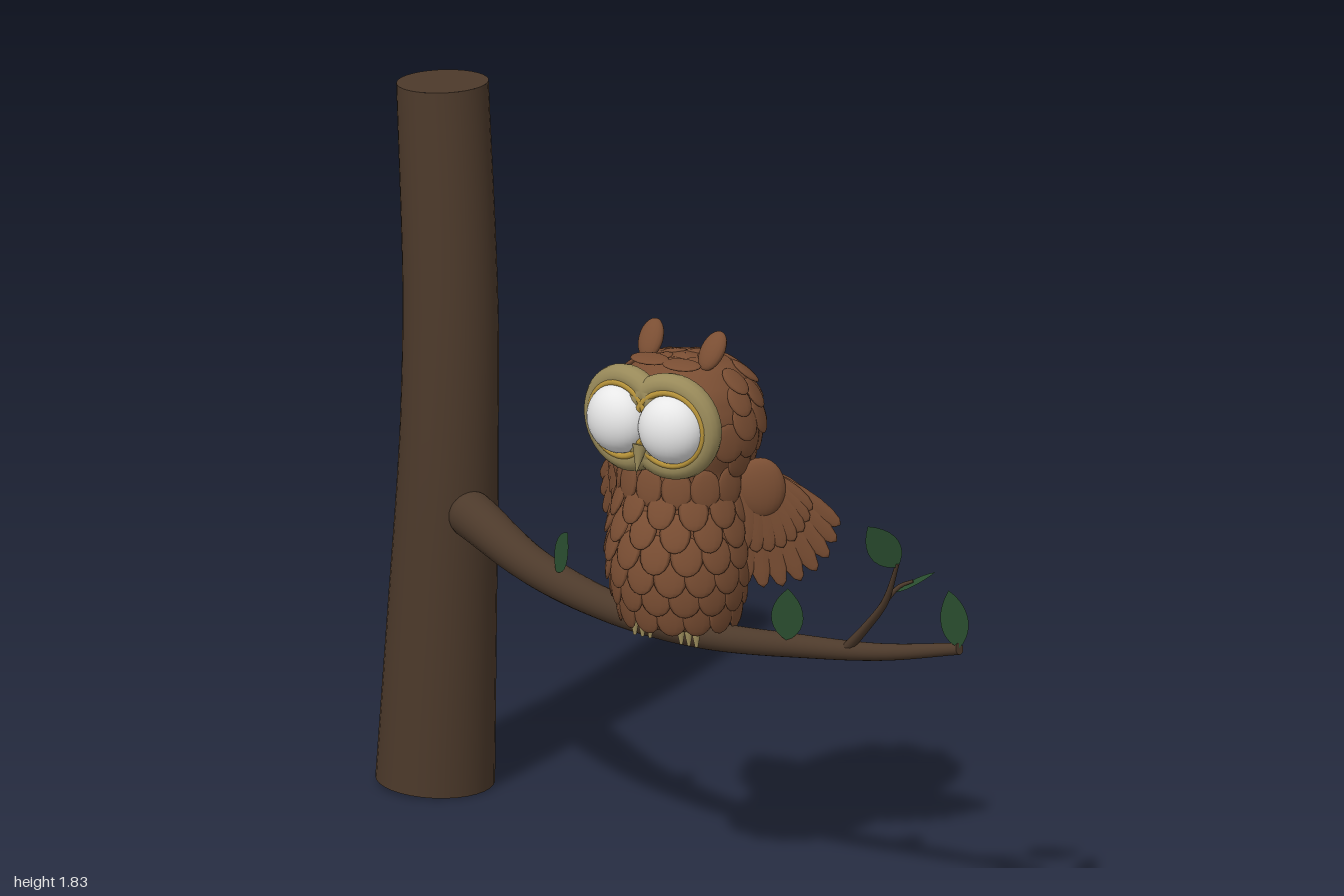
import * as THREE from 'three';
import { mergeGeometries } from 'three/addons/utils/BufferGeometryUtils.js';

const V = (x, y, z) => new THREE.Vector3(x, y, z);
const CX = 0.14; // owl centre line
const mat = (name, color, side = THREE.FrontSide) => {
  const m = new THREE.MeshStandardMaterial({ color, side });
  m.name = name;
  return m;
};

// owl body profile: height, radius, z centre
const PROFILE = [
  [0.69, 0.1, 0.15], [0.73, 0.145, 0.145], [0.82, 0.168, 0.15], [0.92, 0.17, 0.15],
  [1.02, 0.157, 0.135], [1.09, 0.15, 0.125], [1.16, 0.175, 0.12], [1.24, 0.187, 0.115],
  [1.31, 0.168, 0.115], [1.36, 0.12, 0.12], [1.38, 0.001, 0.12],
];
const DEPTH = 0.92;
function profileAt(y) {
  let i = 0;
  while (i < PROFILE.length - 2 && PROFILE[i + 1][0] < y) i++;
  const [a, b] = [PROFILE[i], PROFILE[i + 1]];
  const t = THREE.MathUtils.clamp((y - a[0]) / (b[0] - a[0]), 0, 1);
  return { r: a[1] + (b[1] - a[1]) * t, z: a[2] + (b[2] - a[2]) * t };
}

// feather: flattened drop hanging down from the origin
function feather(w, len, thick = 0.008) {
  const g = new THREE.SphereGeometry(1, 10, 8);
  g.scale(w, len / 2, thick).translate(0, -len / 2, 0);
  return g;
}
function place(g, pos, rx, ry, rz) {
  const q = new THREE.Quaternion().setFromEuler(new THREE.Euler(rx, ry, rz, 'YXZ'));
  return g.applyMatrix4(new THREE.Matrix4().compose(pos, q, V(1, 1, 1)));
}

// tube whose radius follows a list of radii along the path
function taperedTube(points, radii, segs = 32, sides = 24) {
  const curve = new THREE.CatmullRomCurve3(points);
  const g = new THREE.TubeGeometry(curve, segs, 1, sides);
  const p = g.attributes.position, n = g.attributes.normal;
  for (let i = 0; i < p.count; i++) {
    const f = Math.floor(i / (sides + 1)) / segs * (radii.length - 1);
    const k = Math.min(Math.floor(f), radii.length - 2);
    const d = THREE.MathUtils.lerp(radii[k], radii[k + 1], f - k) - 1;
    p.setXYZ(i, p.getX(i) + n.getX(i) * d, p.getY(i) + n.getY(i) * d, p.getZ(i) + n.getZ(i) * d);
  }
  const caps = [0, 1].map((t) => {
    const dir = curve.getTangentAt(t).multiplyScalar(t ? 1 : -1);
    const c = new THREE.CircleGeometry(radii[t ? radii.length - 1 : 0], sides);
    c.applyQuaternion(new THREE.Quaternion().setFromUnitVectors(V(0, 0, 1), dir));
    const e = curve.getPointAt(t);
    return c.translate(e.x, e.y, e.z);
  });
  return mergeGeometries([g, ...caps]);
}

// pointed leaf from base to tip, facing roughly along the given normal
function leaf(base, tip, normal, w) {
  const s = new THREE.Shape();
  s.moveTo(0, 0);
  s.bezierCurveTo(w * 0.7, 0.2, w * 0.75, 0.65, 0, 1);
  s.bezierCurveTo(-w * 0.75, 0.65, -w * 0.7, 0.2, 0, 0);
  const g = new THREE.ShapeGeometry(s, 10);
  const up = tip.clone().sub(base);
  const x = up.clone().cross(normal).normalize();
  const z = x.clone().cross(up).normalize();
  return g.applyMatrix4(new THREE.Matrix4().makeBasis(x, up, z).setPosition(base));
}

export function createModel() {
  const root = new THREE.Group();
  const bark = mat('bark', 0x4d3a2b);
  const brown = mat('featherBrown', 0x7a4e33);
  const tan = mat('tan', 0x998a5a);
  const gold = mat('gold', 0xb8943a);
  const white = mat('eyeWhite', 0xeeeeee);
  const green = mat('leafGreen', 0x2b4f30, THREE.DoubleSide);
  const add = (name, g, m, parent = root) => {
    const mesh = new THREE.Mesh(g, m);
    mesh.name = name;
    parent.add(mesh);
    return mesh;
  };

  // tree
  add('trunk', taperedTube([V(-0.85, 0.01, -0.218), V(-0.825, 0.45, -0.212), V(-0.805, 0.85, -0.21),
    V(-0.802, 1.25, -0.215), V(-0.833, 1.825, -0.225)], [0.149, 0.136, 0.123, 0.118, 0.115], 40, 32), bark);
  add('branch', taperedTube([V(-0.69, 0.74, -0.15), V(-0.4, 0.69, -0.01), V(-0.1, 0.664, 0.085),
    V(0.2, 0.66, 0.128), V(0.5, 0.685, 0.138), V(0.75, 0.715, 0.143), V(0.99, 0.768, 0.15)],
  [0.06, 0.048, 0.041, 0.038, 0.032, 0.023, 0.015], 48), bark);
  add('branchRoot', new THREE.SphereGeometry(0.06, 24, 16).translate(-0.69, 0.74, -0.15), bark);
  add('twig', taperedTube([V(0.64, 0.7, 0.145), V(0.72, 0.78, 0.17), V(0.8, 0.87, 0.2), V(0.855, 0.985, 0.225)],
    [0.014, 0.011, 0.009, 0.005], 20, 10), bark);
  add('sideTwig', taperedTube([V(0.795, 0.865, 0.2), V(0.83, 0.91, 0.18), V(0.86, 0.925, 0.165)],
    [0.008, 0.006, 0.004], 8, 8), bark);
  const leaves = [
    [V(0.855, 0.975, 0.225), V(0.81, 1.09, 0.29), V(0.4, 0.35, 0.85), 0.075],
    [V(0.82, 0.895, 0.185), V(0.91, 0.95, 0.14), V(-0.4, 0.8, 0.2), 0.065],
    [V(0.99, 0.77, 0.15), V(0.95, 0.91, 0.14), V(0.9, 0.2, 0.35), 0.075],
    [V(-0.3, 0.715, 0.05), V(-0.25, 0.83, 0.07), V(-0.55, 0.1, 0.8), 0.08],
    [V(0.475, 0.7, 0.16), V(0.485, 0.84, 0.17), V(0.4, 0, 0.9), 0.075],
  ];
  add('leaves', mergeGeometries(leaves.map((l) => leaf(...l))), green);

  // owl body and head
  const owl = new THREE.Group();
  owl.name = 'owl';
  owl.position.x = CX;
  root.add(owl);
  const pts = [new THREE.Vector2(0, 0.68)];
  for (let i = 0; i <= 36; i++) {
    const y = 0.69 + 0.69 * i / 36;
    pts.push(new THREE.Vector2(profileAt(y).r, y));
  }
  const body = new THREE.LatheGeometry(pts, 32);
  const bp = body.attributes.position;
  for (let i = 0; i < bp.count; i++) bp.setZ(i, bp.getZ(i) * DEPTH + profileAt(bp.getY(i)).z);
  body.computeVertexNormals();
  add('body', body, brown, owl);

  // overlapping rows of feathers, leaving the face free
  const rows = [0.79, 0.845, 0.9, 0.955, 1.01, 1.065, 1.12, 1.19, 1.24, 1.285, 1.325, 1.36, 1.375];
  const plumage = [];
  rows.forEach((y, k) => {
    const { r, z } = profileAt(y), low = profileAt(y - 0.06);
    const n = Math.max(6, Math.round(r * 85));
    const len = y > 1.3 ? 0.085 : 0.1;
    for (let i = 0; i < n; i++) {
      const a = (i + (k % 2) / 2) / n * Math.PI * 2;
      if (y > 1.14 && y < 1.37 && Math.cos(a) > 0.5) continue;
      const shift = (low.z - z) * Math.cos(a);
      const tilt = Math.atan((low.r - r + shift) / 0.06) + 0.16;
      plumage.push(place(feather(Math.max(0.036, r * 0.25), len),
        V(Math.sin(a) * r, y, z + Math.cos(a) * r * DEPTH), -tilt, a, 0));
    }
  });
  add('plumage', mergeGeometries(plumage), brown, owl);

  // short tail
  const tail = [-1, 0, 1].map((i) => place(feather(0.035, 0.13), V(i * 0.045, 0.81, 0.01), 0.1, 0, i * 0.15));
  add('tail', mergeGeometries(tail), brown, owl);

  for (const s of [1, -1]) {
    const side = s > 0 ? 'left' : 'right';

    // wing: fan of long feathers, a shorter layer and a rounded shoulder
    const wing = new THREE.Group();
    wing.name = side + 'Wing';
    wing.position.set(s * 0.155, 1.09, 0.11);
    wing.rotation.y = s * 0.52;
    const fan = [];
    for (let i = 0; i < 8; i++) {
      const t = i / 7, a = s * (0.02 + t * 1.0);
      const len = 0.29 + 0.035 * Math.sin(t * Math.PI) - 0.035 * t;
      const at = V(s * (0.01 + t * 0.025), 0, -0.003 * i);
      fan.push(place(feather(0.034, len, 0.007), at, 0, 0, a));
      for (const f of [-1, 1]) {
        fan.push(place(feather(0.033, len * 0.68, 0.007), at.clone().add(V(0, 0, f * 0.011)), 0, 0, a));
      }
    }
    add('wingFeathers', mergeGeometries(fan), brown, wing);
    const shoulder = new THREE.SphereGeometry(1, 20, 14).scale(0.062, 0.078, 0.026);
    add('shoulder', shoulder.translate(s * 0.055, -0.035, 0), brown, wing);
    owl.add(wing);

    // face disc, gold ring and eye, turned slightly outward
    const face = new THREE.Group();
    face.name = side + 'Face';
    face.position.set(s * 0.066, 1.24, 0.275);
    face.rotation.y = s * 0.13;
    add('faceRim', new THREE.TorusGeometry(0.106, 0.031, 14, 40), tan, face);
    add('facePlate', new THREE.SphereGeometry(0.115, 28, 14).scale(1, 1, 0.15), tan, face);
    add('eyeRing', new THREE.TorusGeometry(0.094, 0.009, 8, 40).translate(s * 0.006, 0, 0.026), gold, face);
    add('eye', new THREE.SphereGeometry(0.088, 32, 20).scale(1, 1, 0.76).translate(s * 0.012, 0, 0.022), white, face);
    owl.add(face);

    // ear tuft leaning back, with a flat brow feather in front
    const ear = new THREE.SphereGeometry(1, 16, 12).scale(0.034, 0.054, 0.019);
    add(side + 'Ear', place(ear, V(s * 0.093, 1.405, 0.135), -0.6, 0, -s * 0.12), brown, owl);
    const brow = new THREE.SphereGeometry(1, 14, 8).scale(0.055, 0.007, 0.035);
    add(side + 'Brow', place(brow, V(s * 0.048, 1.378, 0.205), 0.12, 0, 0), brown, owl);

    // foot: three toes curling over the branch and one behind
    const toes = [-1, 0, 1].map((i) => {
      const x = s * 0.07 + i * 0.023;
      return taperedTube([V(x * 0.98, 0.715, 0.14), V(x, 0.724, 0.175), V(x, 0.7, 0.203),
        V(x, 0.652, 0.205)], [0.012, 0.014, 0.012, 0.004], 12, 10);
    });
    toes.push(taperedTube([V(s * 0.07, 0.71, 0.12), V(s * 0.07, 0.695, 0.08), V(s * 0.07, 0.655, 0.07)],
      [0.012, 0.012, 0.004], 10, 10));
    add(side + 'Foot', mergeGeometries(toes), tan, owl);
  }

  // beak
  const beak = new THREE.ConeGeometry(0.02, 0.075, 14).rotateX(Math.PI);
  add('beak', place(beak, V(0, 1.155, 0.325), -0.25, 0, 0), tan, owl);

  return root;
}
